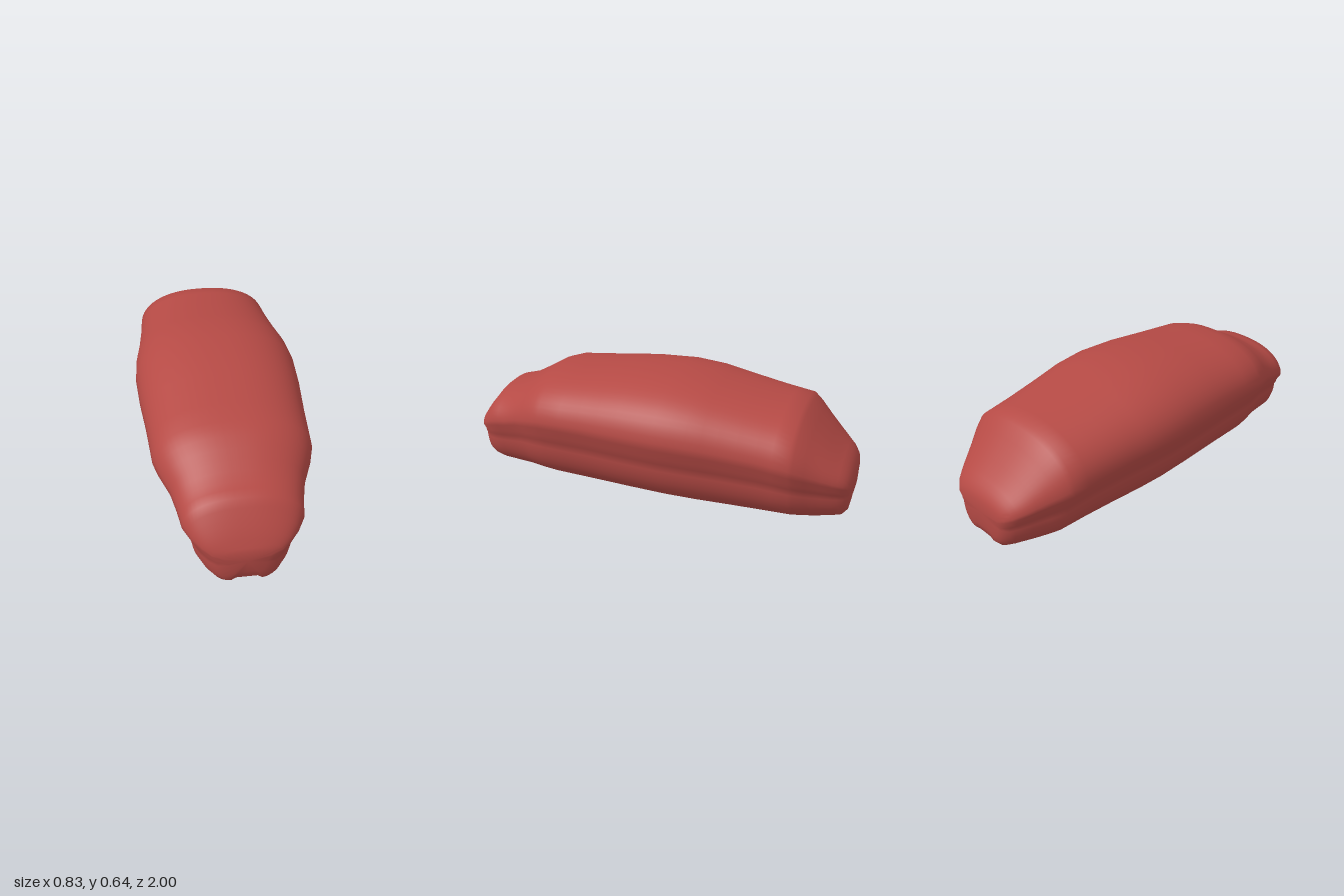
import * as THREE from 'three';
import { toCreasedNormals } from 'three/addons/utils/BufferGeometryUtils.js';

// stations along the body: z, half width, top, height of the rim, bottom
const stations = [
  [-1, 0.13, 0.26, 0.21, 0.13], [-0.99, 0.17, 0.29, 0.225, 0.07], [-0.965, 0.205, 0.325, 0.24, 0.04],
  [-0.92, 0.24, 0.365, 0.26, 0.03], [-0.83, 0.295, 0.46, 0.295, 0.018], [-0.77, 0.335, 0.525, 0.32, 0.015],
  [-0.73, 0.355, 0.56, 0.335, 0.012], [-0.58, 0.364, 0.58, 0.355, 0.007], [-0.4, 0.383, 0.61, 0.37, 0.003],
  [-0.25, 0.405, 0.635, 0.381, 0.001], [-0.1, 0.415, 0.645, 0.385, 0], [0.1, 0.405, 0.635, 0.384, 0],
  [0.3, 0.387, 0.61, 0.38, 0], [0.53, 0.372, 0.583, 0.37, 0.002], [0.6, 0.35, 0.56, 0.355, 0.003],
  [0.7, 0.305, 0.5, 0.325, 0.005], [0.78, 0.285, 0.455, 0.3, 0.006], [0.865, 0.27, 0.432, 0.28, 0.009],
  [0.92, 0.235, 0.365, 0.255, 0.014], [0.96, 0.195, 0.31, 0.235, 0.028], [0.985, 0.155, 0.268, 0.215, 0.055],
  [1, 0.1, 0.24, 0.2, 0.11],
];

const lerp = THREE.MathUtils.lerp;
const DOME = 14, BOWL = 12;

// right-hand half of one cross-section, from top centre down to the slot
function halfSection([, w, top, rim, bot]) {
  const pts = [];
  for (let i = 0; i <= DOME; i++) {
    const a = (i / DOME) * Math.PI / 2;
    pts.push([w * Math.sin(a) ** (2 / 2.3), rim + (top - rim) * Math.max(0, Math.cos(a)) ** (2 / 2.3)]);
  }
  // undercut below the rim
  const k = (rim - bot) / 0.385;
  pts.push([0.89 * w, rim - 0.065 * k], [0.89 * w, rim - 0.085 * k]);
  // rounded lower body
  const s = Math.min(0.07, w * 0.5), y0 = rim - 0.105 * k;
  for (let i = 0; i <= BOWL; i++) {
    const a = (i / BOWL) * Math.PI / 2;
    pts.push([s + (0.845 * w - s) * Math.max(0, Math.cos(a)) ** 0.95, y0 - (y0 - bot) * Math.sin(a) ** 0.95]);
  }
  // slot wall and ceiling
  const ceiling = Math.max(0.07, bot + 0.01);
  pts.push([s * 0.68, ceiling], [0, ceiling]);
  return pts;
}

function bodyGeometry() {
  // extra rows between the stations
  const rows = [];
  stations.forEach((s, i) => {
    rows.push(s);
    const n = stations[i + 1];
    if (n) rows.push(s.map((v, k) => lerp(v, n[k], 0.5)));
  });
  const pos = [], index = [];
  let count = 0;
  for (const row of rows) {
    const half = halfSection(row);
    const mirrored = half.slice(1, -1).reverse().map(([x, y]) => [-x, y]);
    const ring = [...half, ...mirrored];
    count = ring.length;
    for (const [x, y] of ring) pos.push(x, y, row[0]);
  }
  for (let i = 0; i < rows.length - 1; i++) {
    for (let j = 0; j < count; j++) {
      const a = i * count + j, b = i * count + (j + 1) % count;
      index.push(a, a + count, b, b, a + count, b + count);
    }
  }
  // end faces
  for (const [row, front] of [[0, false], [rows.length - 1, true]]) {
    const centre = pos.length / 3;
    pos.push(0, lerp(rows[row][4], rows[row][2], 0.55), rows[row][0]);
    for (let j = 0; j < count; j++) {
      const a = row * count + j, b = row * count + (j + 1) % count;
      if (front) index.push(centre, b, a);
      else index.push(centre, a, b);
    }
  }
  const geo = new THREE.BufferGeometry();
  geo.setAttribute('position', new THREE.Float32BufferAttribute(pos, 3));
  geo.setIndex(index);
  return toCreasedNormals(geo, 0.95);
}

export function createModel() {
  const group = new THREE.Group();
  const body = new THREE.Mesh(bodyGeometry(), new THREE.MeshStandardMaterial({ color: 0xb54a45 }));
  body.name = 'slottedBody';
  group.add(body);
  return group;
}
